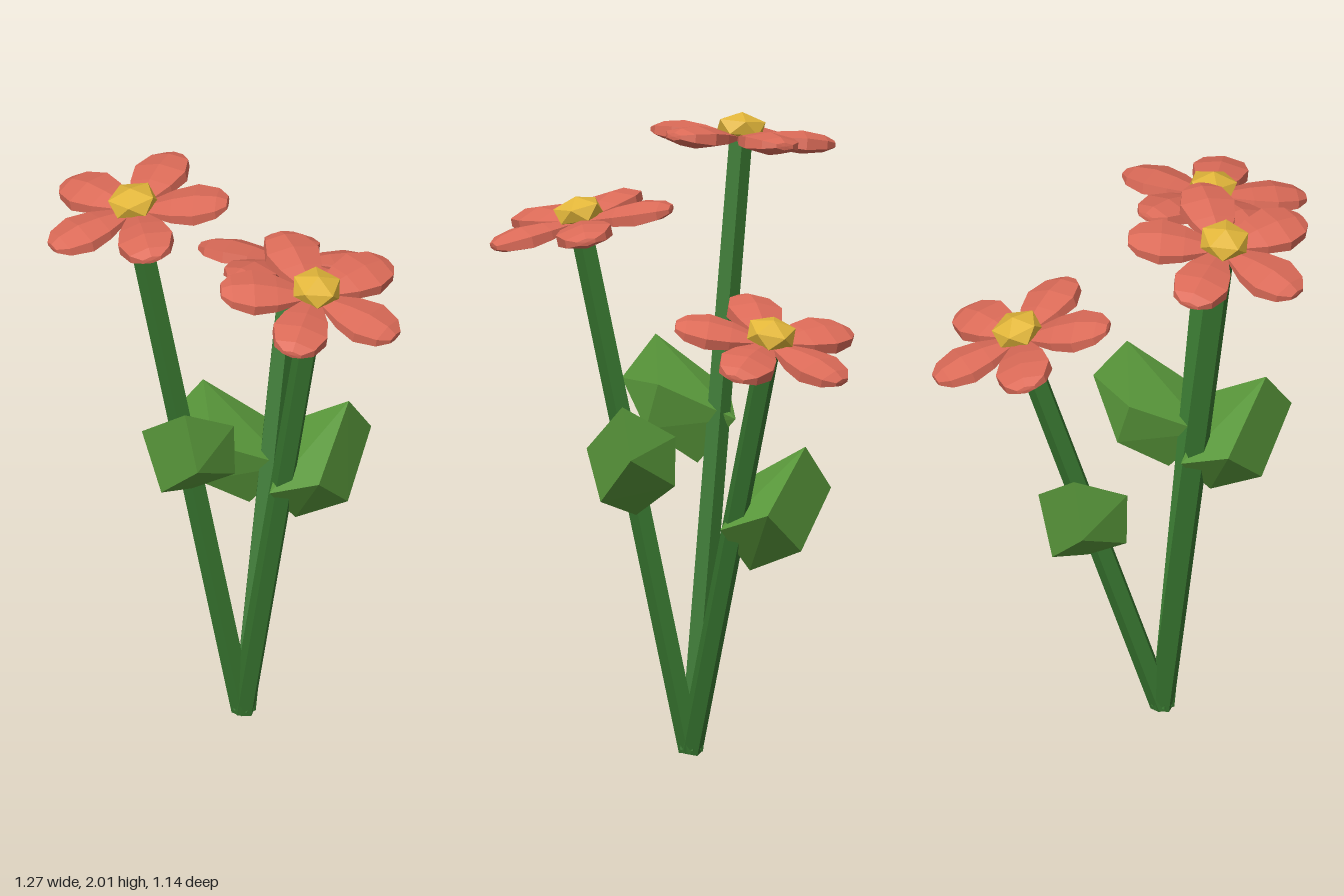
import * as THREE from 'three';
import { ConvexGeometry } from 'three/addons/geometries/ConvexGeometry.js';

const flat = (color) => new THREE.MeshStandardMaterial({ color, flatShading: true });
const stemMat = flat(0x37752f);
const leafMat = flat(0x58963a);
const petalMat = flat(0xdc6b58);
const heartMat = flat(0xe2b63a);

function add(parent, name, geometry, material) {
  const mesh = new THREE.Mesh(geometry, material);
  mesh.name = name;
  parent.add(mesh);
  return mesh;
}

// Faceted petal: six-sided spindle laid along +x and flattened
function petalGeometry() {
  const profile = [[0, 0.03], [0.035, 0.04], [0.082, 0.125], [0.102, 0.2], [0.075, 0.27], [0.034, 0.302], [0, 0.304]];
  const g = new THREE.LatheGeometry(profile.map(([r, y]) => new THREE.Vector2(r, y)), 6, Math.PI / 6);
  g.rotateZ(-Math.PI / 2);
  g.scale(1, 0.36, 1);
  return g;
}

// Chunky leaf: a skewed block given by its eight corners
function leafGeometry() {
  return new ConvexGeometry([
    [-0.06, -0.04, 0], [0.03, 0.02, 0.135], [0.24, 0.2, 0.035], [0.145, 0.08, -0.14],
    [0.065, -0.19, -0.02], [0.18, -0.12, 0.1], [0.35, 0.05, 0.015], [0.19, -0.07, -0.135],
  ].map((p) => new THREE.Vector3(...p)));
}

// Flower heart: icosahedron standing on a vertex, slightly flattened
function heartGeometry() {
  const g = new THREE.IcosahedronGeometry(0.086, 0);
  g.rotateX(-Math.atan((1 + Math.sqrt(5)) / 2));
  g.scale(1, 0.55, 1);
  return g;
}

// One flower, leaning toward local +z
function createFlower(height, reach, leafHeight) {
  const flower = new THREE.Group();
  const lean = Math.atan2(reach, height);
  const length = Math.hypot(height, reach);

  const stemGeo = new THREE.CylinderGeometry(0.039, 0.039, length, 5);
  stemGeo.translate(0, length / 2, 0);
  const stem = add(flower, 'stem', stemGeo, stemMat);
  stem.rotation.x = lean;

  const leaf = add(flower, 'leaf', leafGeometry(), leafMat);
  leaf.position.set(0, leafHeight, reach * leafHeight / height);

  const head = new THREE.Group();
  head.name = 'flowerHead';
  head.position.set(0, height, reach);
  head.rotation.x = lean;
  flower.add(head);
  const petalGeo = petalGeometry();
  for (let i = 0; i < 5; i++) {
    add(head, 'petal', petalGeo, petalMat).rotation.y = i * Math.PI * 2 / 5;
  }
  add(head, 'flowerHeart', heartGeometry(), heartMat).position.y = 0.035;
  return flower;
}

export function createModel() {
  const model = new THREE.Group();
  model.name = 'flowers';
  // stem height, sideways reach, leaf height, turn in degrees
  const flowers = [
    ['frontFlower', 1.72, 0.35, 0.97, 0],
    ['tallFlower', 1.915, 0.35, 1.08, -120],
    ['shortFlower', 1.405, 0.45, 0.81, 120],
  ];
  for (const [name, height, reach, leafHeight, turn] of flowers) {
    const flower = createFlower(height, reach, leafHeight);
    flower.name = name;
    flower.position.set(-0.037, 0.01, -0.077);
    flower.rotation.y = THREE.MathUtils.degToRad(turn);
    model.add(flower);
  }
  return model;
}
